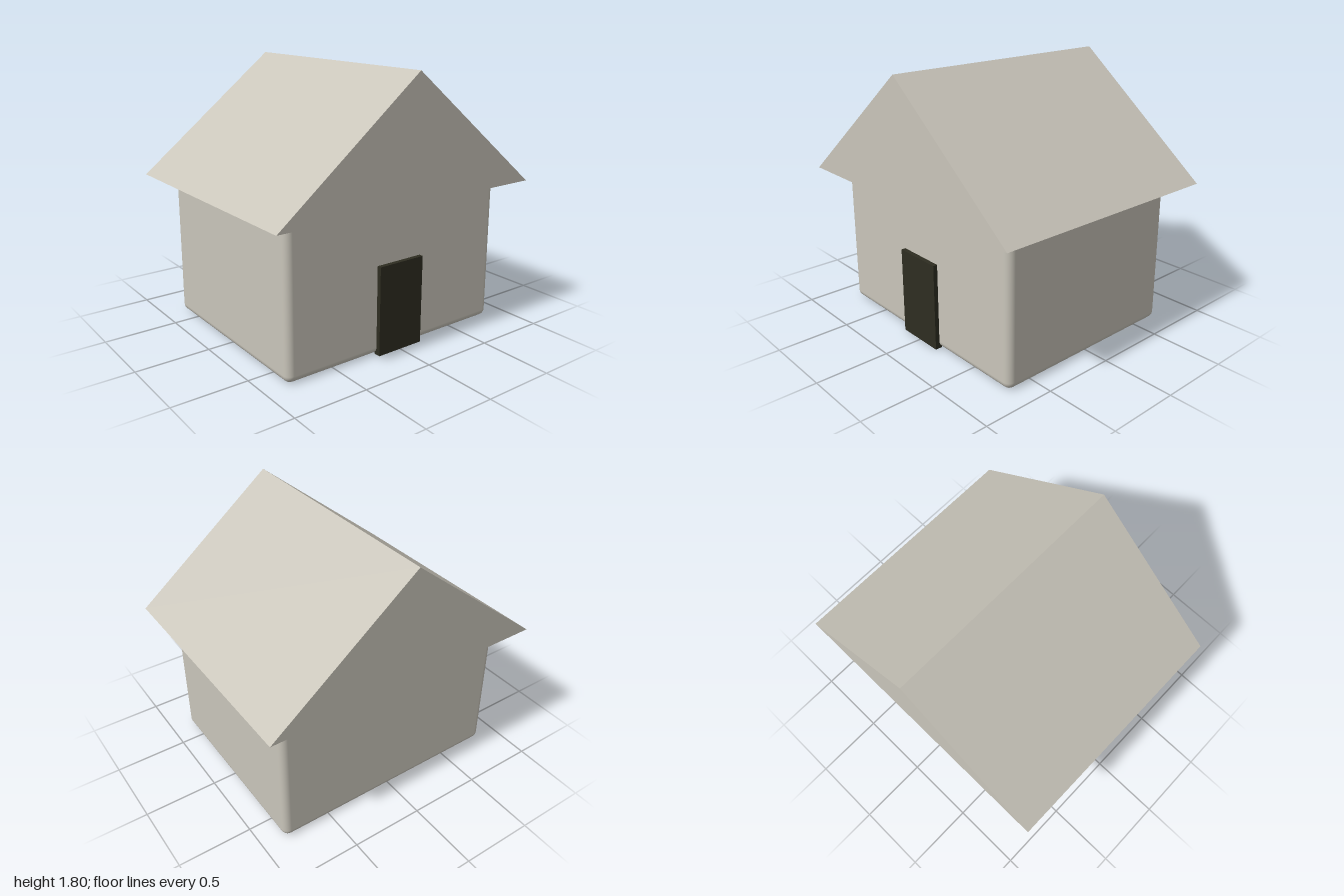
import * as THREE from 'three';
import { RoundedBoxGeometry } from 'three/addons/geometries/RoundedBoxGeometry.js';

export function createModel() {
  const house = new THREE.Group();
  house.name = 'house';

  const stone = new THREE.MeshStandardMaterial({ color: 0xc9c5ba });
  stone.name = 'pale stone';
  const darkWood = new THREE.MeshStandardMaterial({ color: 0x2e2d21 });
  darkWood.name = 'dark wood';

  const add = (name, geometry, material, x, y, z) => {
    const mesh = new THREE.Mesh(geometry, material);
    mesh.name = name;
    mesh.position.set(x, y, z);
    house.add(mesh);
  };

  // Walls: one block with softly rounded edges
  add('walls', new RoundedBoxGeometry(1.7, 1, 1.4, 4, 0.05), stone, 0, 0.5, 0);

  // Roof: solid gable prism overhanging the walls
  const gable = new THREE.Shape([
    new THREE.Vector2(-1, 0),
    new THREE.Vector2(1, 0),
    new THREE.Vector2(0, 0.8),
  ]);
  const roof = new THREE.ExtrudeGeometry(gable, { depth: 1.7, bevelEnabled: false });
  add('roof', roof, stone, 0, 1, -0.85);

  // Door: slab standing proud of the front wall
  add('door', new THREE.BoxGeometry(0.35, 0.6, 0.05), darkWood, 0, 0.3, 0.705);

  return house;
}
